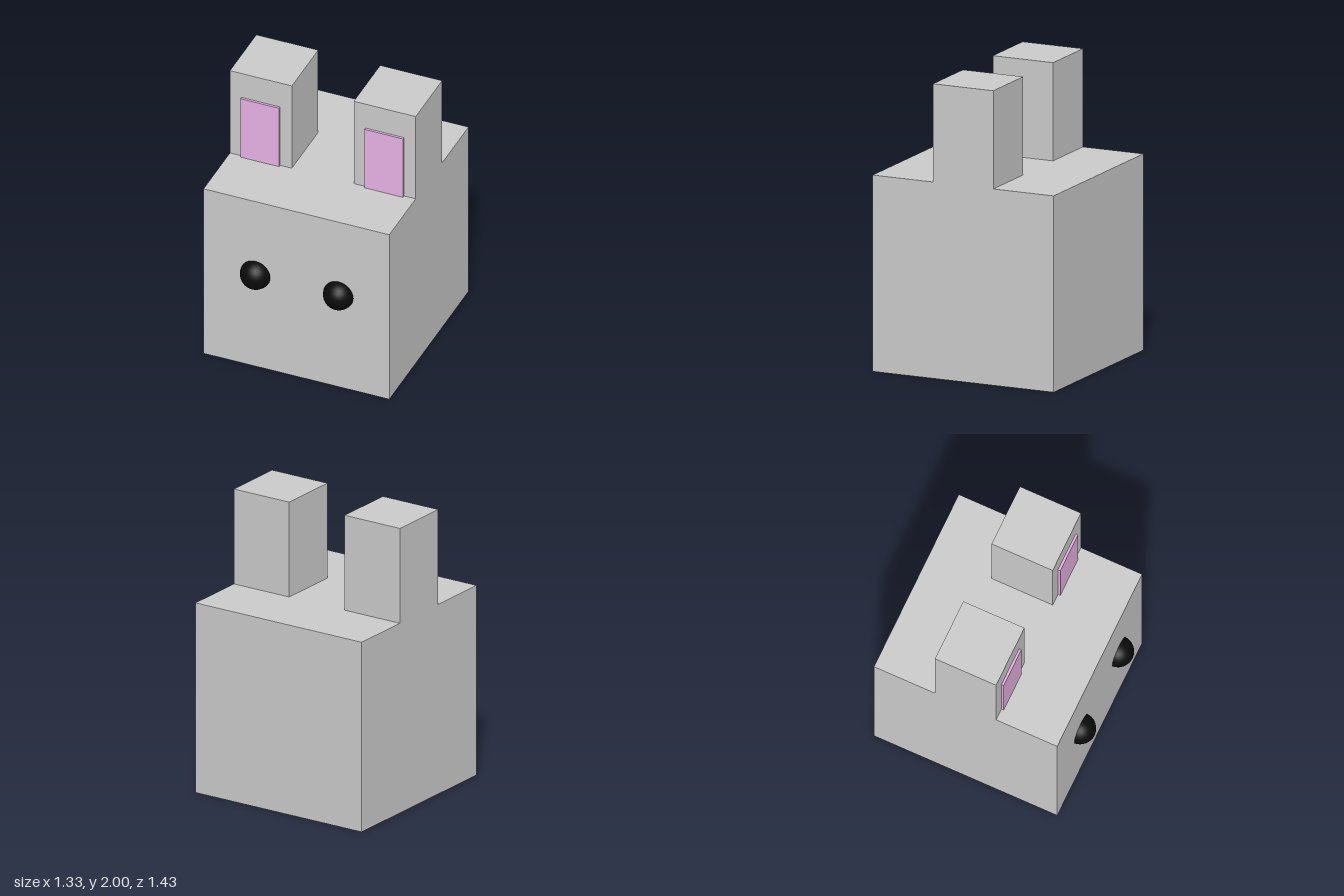
import * as THREE from 'three';

export function createModel() {
  const model = new THREE.Group();
  model.name = 'blockRabbit';

  const grey = new THREE.MeshStandardMaterial({ color: 0xcccccc });
  const pink = new THREE.MeshStandardMaterial({ color: 0xe6b2e4 });
  const black = new THREE.MeshStandardMaterial({ color: 0x0a0a0a });

  function add(name, geometry, material, x, y, z) {
    const mesh = new THREE.Mesh(geometry, material);
    mesh.name = name;
    mesh.position.set(x, y, z);
    model.add(mesh);
  }

  // Cube body, set slightly back so the eyes stay within the depth
  const size = 4 / 3;
  const bodyZ = -0.05;
  add('body', new THREE.BoxGeometry(size, size, size), grey, 0, size / 2, bodyZ);

  // Ears with thin inner panels, flush with the sides of the body
  const earWidth = size / 3;
  const earHeight = 2 - size;
  const earGeometry = new THREE.BoxGeometry(earWidth, earHeight, earWidth);
  const panelHeight = 0.473;
  const panelGeometry = new THREE.BoxGeometry(0.278, panelHeight, 0.034);
  const eyeGeometry = new THREE.SphereGeometry(0.106, 32, 16);

  for (const [side, s, eyeX] of [['left', 1, 0.303], ['right', -1, -0.293]]) {
    const earX = s * earWidth;
    add(side + 'Ear', earGeometry, grey, earX, size + earHeight / 2, bodyZ);
    add(side + 'InnerEar', panelGeometry, pink, earX, size + panelHeight / 2, bodyZ + earWidth / 2);
    // Round eyes half sunk into the face
    add(side + 'Eye', eyeGeometry, black, eyeX, 0.745, 0.611);
  }

  return model;
}
